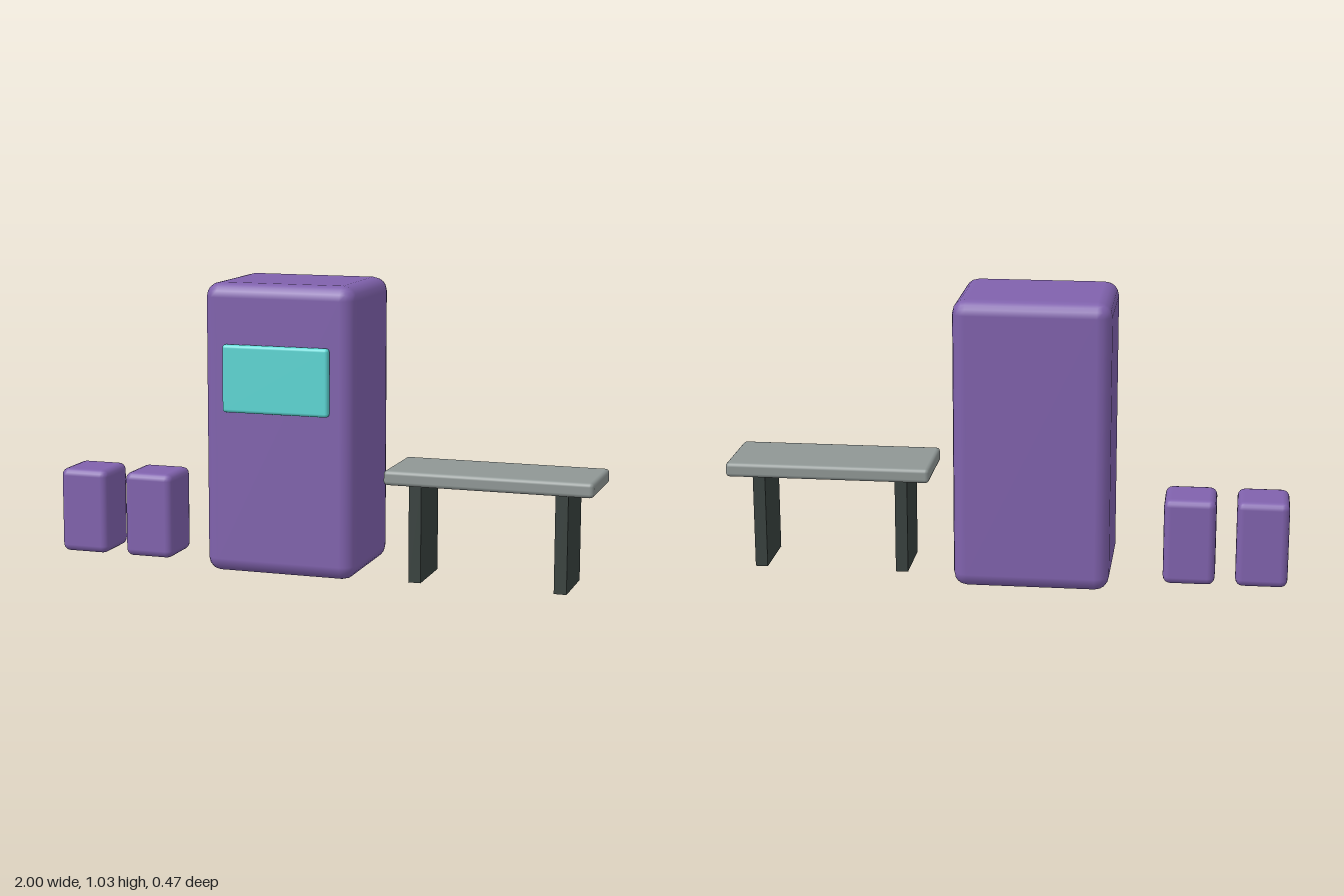
import * as THREE from 'three';
import { RoundedBoxGeometry } from 'three/addons/geometries/RoundedBoxGeometry.js';

const material = (color) => new THREE.MeshStandardMaterial({ color });

// Box given by its [min, max] extents on each axis; radius 0 keeps sharp edges
function block(name, [x0, x1], [y0, y1], [z0, z1], radius, mat) {
  const size = [x1 - x0, y1 - y0, z1 - z0];
  const geometry = radius > 0
    ? new RoundedBoxGeometry(...size, 2, radius)
    : new THREE.BoxGeometry(...size);
  const mesh = new THREE.Mesh(geometry, mat);
  mesh.name = name;
  mesh.position.set((x0 + x1) / 2, (y0 + y1) / 2, (z0 + z1) / 2);
  return mesh;
}

export function createModel() {
  const model = new THREE.Group();
  model.name = 'kioskWithBenchAndBins';
  const purple = material(0x8062ad);
  const teal = material(0x5cd6d4);
  const grey = material(0x8f9795);
  const dark = material(0x38413e);

  // Kiosk: tall cabinet with a screen on its front
  const kiosk = new THREE.Group();
  kiosk.name = 'kiosk';
  kiosk.add(
    block('cabinet', [-0.378, 0.17], [0, 1.028], [-0.236, 0.207], 0.05, purple),
    block('screen', [-0.298, 0.09], [0.58, 0.818], [0.207, 0.237], 0.012, teal)
  );

  // Bench: slab seat on two panel legs
  const bench = new THREE.Group();
  bench.name = 'bench';
  bench.add(block('seat', [0.267, 1], [0.344, 0.396], [-0.125, 0.168], 0.014, grey));
  for (const x of [0.373, 0.887]) {
    bench.add(block('benchLeg', [x - 0.022, x + 0.022], [0, 0.346], [-0.088, 0.133], 0, dark));
  }

  // Two small bins beside the kiosk
  const bins = new THREE.Group();
  bins.name = 'bins';
  for (const x of [-1, -0.745]) {
    bins.add(block('bin', [x, x + 0.183], [0, 0.311], [-0.118, 0.08], 0.026, purple));
  }

  model.add(kiosk, bench, bins);
  return model;
}
